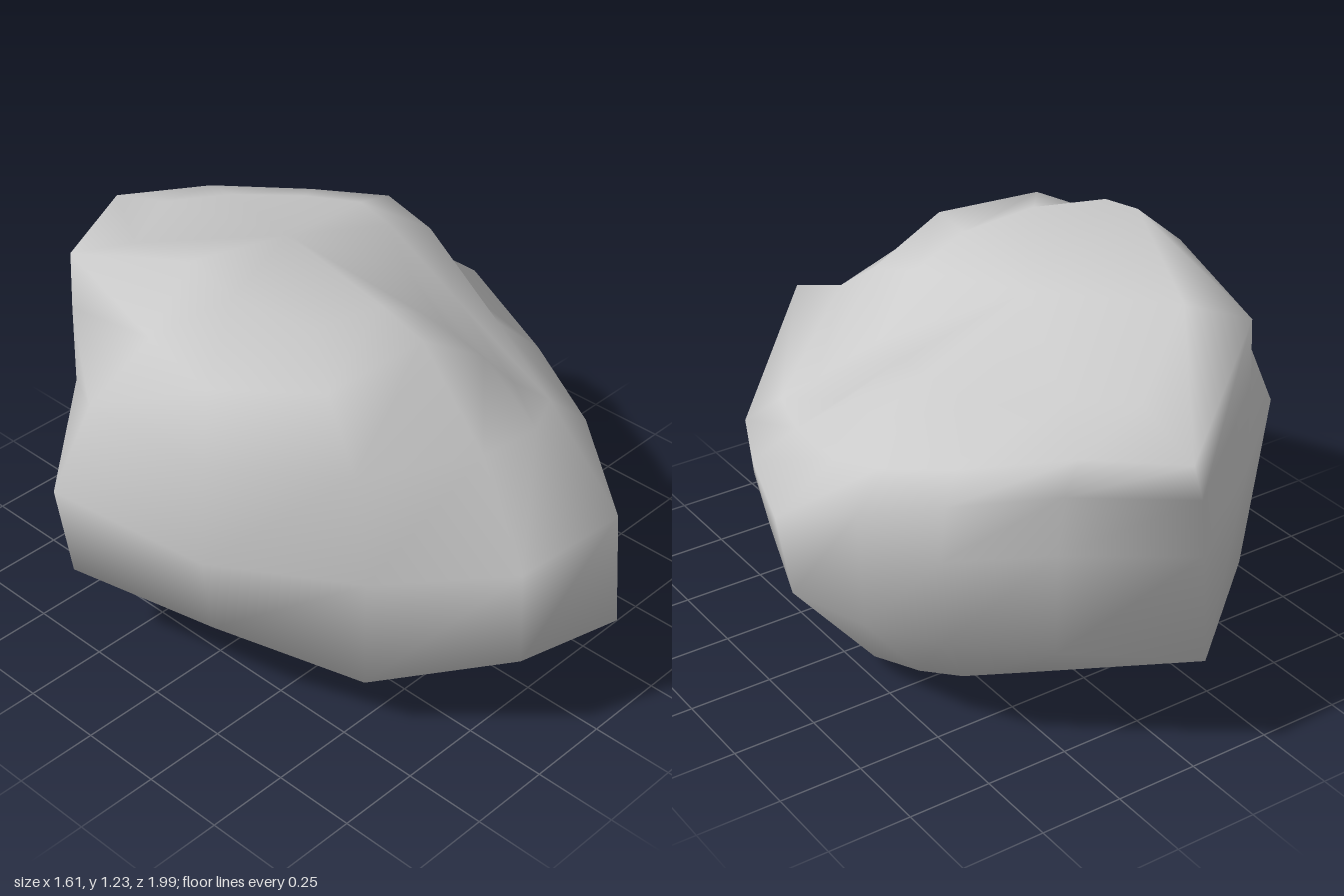
import * as THREE from 'three';

const { lerp } = THREE.MathUtils;

// Widest outline as [x, y, z], from the back round by +x, front, -x
const girth = [
  [-.02, .65, -.975], [.3, .66, -.77], [.55, .64, -.6], [.69, .74, -.42], [.8, .65, -.18], [.66, .6, .2], [.52, .55, .5],
  [.07, .69, .96], [-.21, .6, .87], [-.48, .55, .56], [-.72, .55, .18], [-.81, .58, -.32], [-.44, .62, -.65],
];
// Edge of the top, in the same order; it is steep at the back and dips to a furrow at the front of +x
const rim = [
  [.02, .93, -.965], [.25, .94, -.79], [.5, .9, -.6], [.57, .95, -.34], [.55, .92, -.15], [.45, .8, .05], [.35, .7, .36],
  [.1, .95, .45], [-.12, 1.09, .42], [-.46, 1.08, .4], [-.62, 1.04, .12], [-.6, 1.08, -.12], [-.45, 1.07, -.62],
];
// How far the shoulder is cut in from girth to rim; the high values make the ledge on +x
const cut = [.3, .3, .3, 1, .8, .5, .5, .6, .4, .3, .4, .4, .4];

const basePoint = [.34, 0, -.02];
const crownPoint = [0, 1.11, -.2];

// A smooth bump of height 1 around a point in plan
const bump = (x, z, cx, cz, spread) => Math.exp(-((x - cx) ** 2 + (z - cz) ** 2) / spread);

// Underside tucks in and rises towards the ends and the -x side
const underside = girth.map(([x, , z]) => [
  .53 * x + .04, .03 + .09 * z * z + .1 * Math.min(x, 0) ** 2, .62 * z,
]);

// Lower flank undercuts the sides, keeps the ends upright and drops at one front corner
const flank = girth.map(([x, , z]) => {
  const s = .92 + .11 * Math.abs(z);
  return [s * x, .34 + .06 * x - .12 * bump(x, z, -.45, .6, .06), s * z];
});

// Shoulder is full where the cut is small, low where it is deep
const shoulder = girth.map(([x, y, z], i) => {
  const [rx, ry, rz] = rim[i];
  return [lerp(x, rx, cut[i]), lerp(y, ry, .75 - .45 * cut[i]), lerp(z, rz, cut[i])];
});

// Crown closes in on its centre, with a raised peak on the -x side
const crown = rim.map((p) => {
  const [x, y, z] = p.map((v, axis) => lerp(v, crownPoint[axis], axis === 1 ? .4 : .3));
  return [x, y + .15 * bump(x, z, -.47, -.08, .08), z];
});

// Skins closed rings and caps both ends with a single point
function loftRings(loops, bottom, top) {
  const n = loops[0].length;
  const points = [...loops.flat(), bottom, top];
  const bottomIndex = loops.length * n;
  const topIndex = bottomIndex + 1;
  const last = (loops.length - 1) * n;
  const index = [];
  for (let j = 0; j < n; j++) {
    const k = (j + 1) % n;
    index.push(bottomIndex, j, k);
    for (let i = 0; i < loops.length - 1; i++) {
      const lo = i * n, hi = lo + n;
      index.push(lo + k, lo + j, hi + j, lo + k, hi + j, hi + k);
    }
    index.push(last + k, last + j, topIndex);
  }
  const geometry = new THREE.BufferGeometry();
  geometry.setAttribute('position', new THREE.Float32BufferAttribute(points.flat(), 3));
  geometry.setIndex(index);
  geometry.computeVertexNormals();
  return geometry;
}

export function createModel() {
  const group = new THREE.Group();
  group.name = 'rock';
  const stone = new THREE.MeshStandardMaterial({ color: 0xcccccc });
  stone.name = 'stone grey';
  const loops = [underside, flank, girth, shoulder, rim, crown];
  const boulder = new THREE.Mesh(loftRings(loops, basePoint, crownPoint), stone);
  boulder.name = 'boulder';
  group.add(boulder);
  return group;
}
